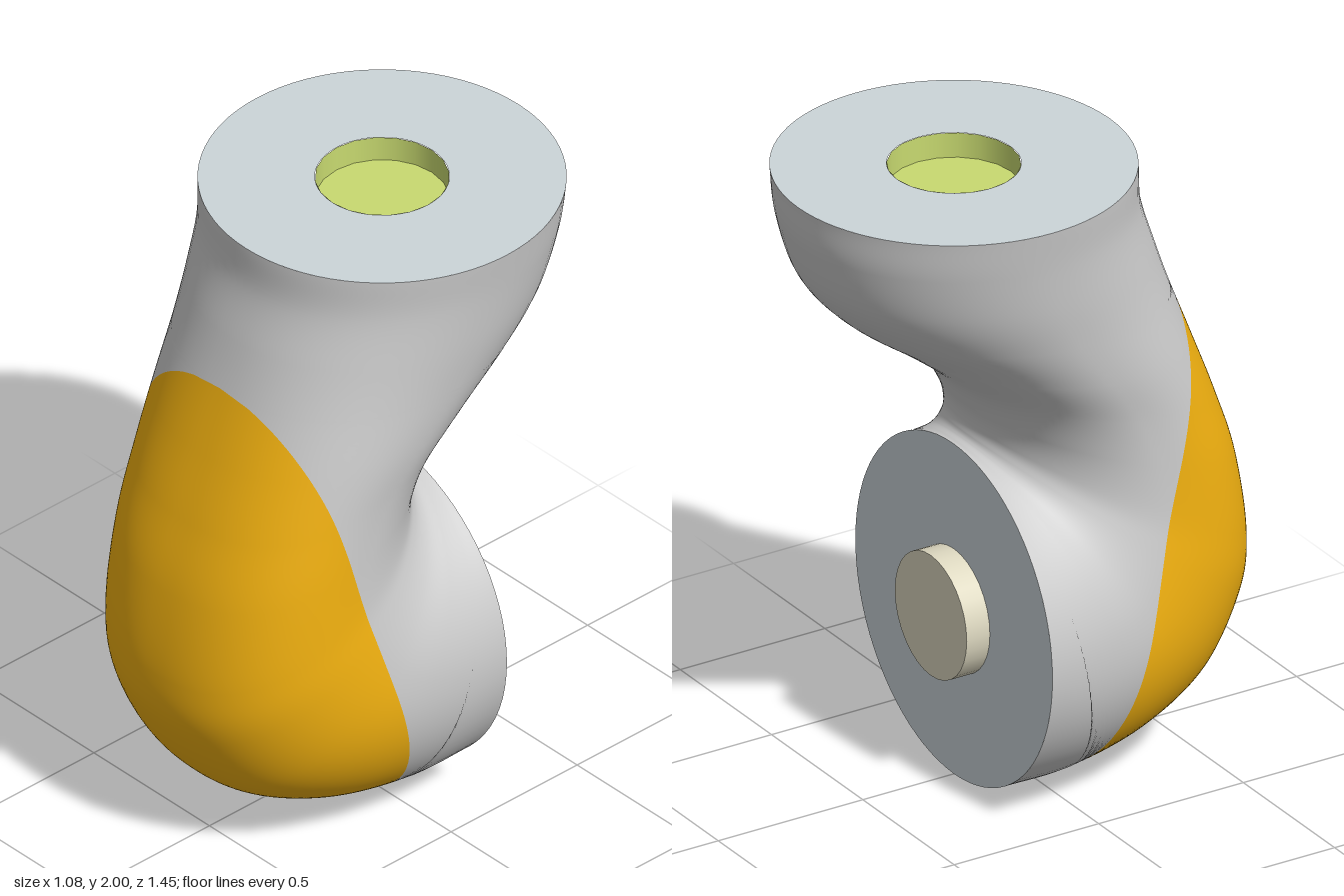
import * as THREE from 'three';

const R = 0.54, ZC = -0.185;   // flange radius, shared centre line
const HOLE = 0.197, DEPTH = 0.08, STEPS = 144;

// Stations along the bend: inner z, y, outer z, y, half width
const stations = [
  [-0.725, 2.0, 0.355, 2.0, 0.54],
  [-0.715, 1.87, 0.362, 1.86, 0.52],
  [-0.66, 1.7, 0.41, 1.7, 0.5],
  [-0.55, 1.57, 0.46, 1.55, 0.48],
  [-0.38, 1.445, 0.535, 1.35, 0.46],
  [-0.23, 1.32, 0.61, 1.15, 0.44],
  [-0.16, 1.21, 0.68, 0.93, 0.435],
  [-0.14, 1.14, 0.72, 0.65, 0.44],
  [-0.145, 1.105, 0.69, 0.45, 0.455],
  [-0.155, 1.09, 0.55, 0.22, 0.48],
  [-0.17, 1.083, 0.32, 0.08, 0.51],
  [-0.178, 1.08, 0.05, 0.01, 0.53],
  [-0.185, 1.08, -0.185, 0, 0.54],
];
const COVER_FROM = 3 / 12, COVER_TO = 11 / 12;
const curve = (f) => new THREE.CatmullRomCurve3(stations.map(f), false, 'catmullrom');
const inner = curve((s) => new THREE.Vector3(s[4], s[1], s[0]));
const outer = curve((s) => new THREE.Vector3(s[4], s[3], s[2]));

// Rings are round at both flanges and squarer at the front of the bend
const power = (t) => 1 - 0.16 * Math.sin(Math.PI * t);

function surface(t, a) {
  const p = inner.getPoint(t), q = outer.getPoint(t), e = power(t);
  const c = -Math.cos(a), s = Math.sin(a);
  const k = c > 0 ? e : 1;
  const along = Math.sign(c) * Math.abs(c) ** k;
  const x = p.x * Math.sign(s) * Math.abs(s) ** k;
  p.lerp(q, (along + 1) / 2);
  p.x = x;
  return p;
}

// Ring angle at which the sloping cover plane cuts station t
function cutAngle(t) {
  if (t <= COVER_FROM || t >= COVER_TO) return Math.PI;
  const dist = (p) => (p.z - 0.05) * 1.54 - (p.y - 0.01) * 0.41;
  const d0 = dist(inner.getPoint(t)), d1 = dist(outer.getPoint(t));
  const along = THREE.MathUtils.clamp((2 * d0) / (d0 - d1) - 1, -1, 1);
  return Math.acos(along > 0 ? -(along ** (1 / power(t))) : -along);
}

function patch(from, to, cols, range) {
  const pos = [], nor = [], idx = [], h = 1e-3;
  const i0 = Math.round(from * STEPS), i1 = Math.round(to * STEPS);
  for (let i = i0; i <= i1; i++) {
    const t = i / STEPS, [a0, a1] = range(t);
    for (let j = 0; j <= cols; j++) {
      const a = a0 + ((a1 - a0) * j) / cols;
      const ds = surface(Math.min(1, t + h), a).sub(surface(Math.max(0, t - h), a));
      const da = surface(t, a + h).sub(surface(t, a - h));
      pos.push(...surface(t, a));
      nor.push(...da.cross(ds).normalize());
      if (i < i1 && j < cols) {
        const v = (i - i0) * (cols + 1) + j, w = v + cols + 1;
        idx.push(v, v + 1, w, v + 1, w + 1, w);
      }
    }
  }
  const g = new THREE.BufferGeometry();
  g.setAttribute('position', new THREE.Float32BufferAttribute(pos, 3));
  g.setAttribute('normal', new THREE.Float32BufferAttribute(nor, 3));
  g.setIndex(idx);
  return g;
}

export function createModel() {
  const group = new THREE.Group();
  const add = (name, geometry, color, side = THREE.FrontSide) => {
    const mesh = new THREE.Mesh(geometry, new THREE.MeshStandardMaterial({ color, side }));
    mesh.name = name;
    group.add(mesh);
    return mesh;
  };

  // Bent shell and the coloured cover on its front
  add('elbowShell', patch(0, 1, 72, (t) => [-cutAngle(t), cutAngle(t)]), 0xcccccc);
  add('frontCover', patch(COVER_FROM, COVER_TO, 56,
    (t) => [cutAngle(t), 2 * Math.PI - cutAngle(t)]), 0xf0b010);

  // Upper flange with its round socket
  const ring = add('topFlange', new THREE.RingGeometry(HOLE, R, 80), 0xccd5d9);
  ring.rotation.x = -Math.PI / 2;
  ring.position.set(0, 2, ZC);
  const wall = add('socketWall',
    new THREE.CylinderGeometry(HOLE, HOLE, DEPTH, 20, 1, true), 0xc8da70, THREE.DoubleSide);
  wall.position.set(0, 2 - DEPTH / 2, ZC);
  const floor = add('socketFloor', new THREE.CircleGeometry(HOLE, 20), 0xc8da70);
  floor.rotation.x = -Math.PI / 2;
  floor.position.set(0, 2 - DEPTH, ZC);

  // Rear flange with its round peg
  const rear = add('rearFlange', new THREE.CircleGeometry(R, 80), 0xccd5d9);
  rear.rotation.y = Math.PI;
  rear.position.set(0, R, ZC);
  const peg = add('rearPeg', new THREE.CylinderGeometry(HOLE, HOLE, DEPTH, 32), 0xddd8c0);
  peg.rotation.x = Math.PI / 2;
  peg.position.set(0, R, ZC - DEPTH / 2);

  return group;
}
